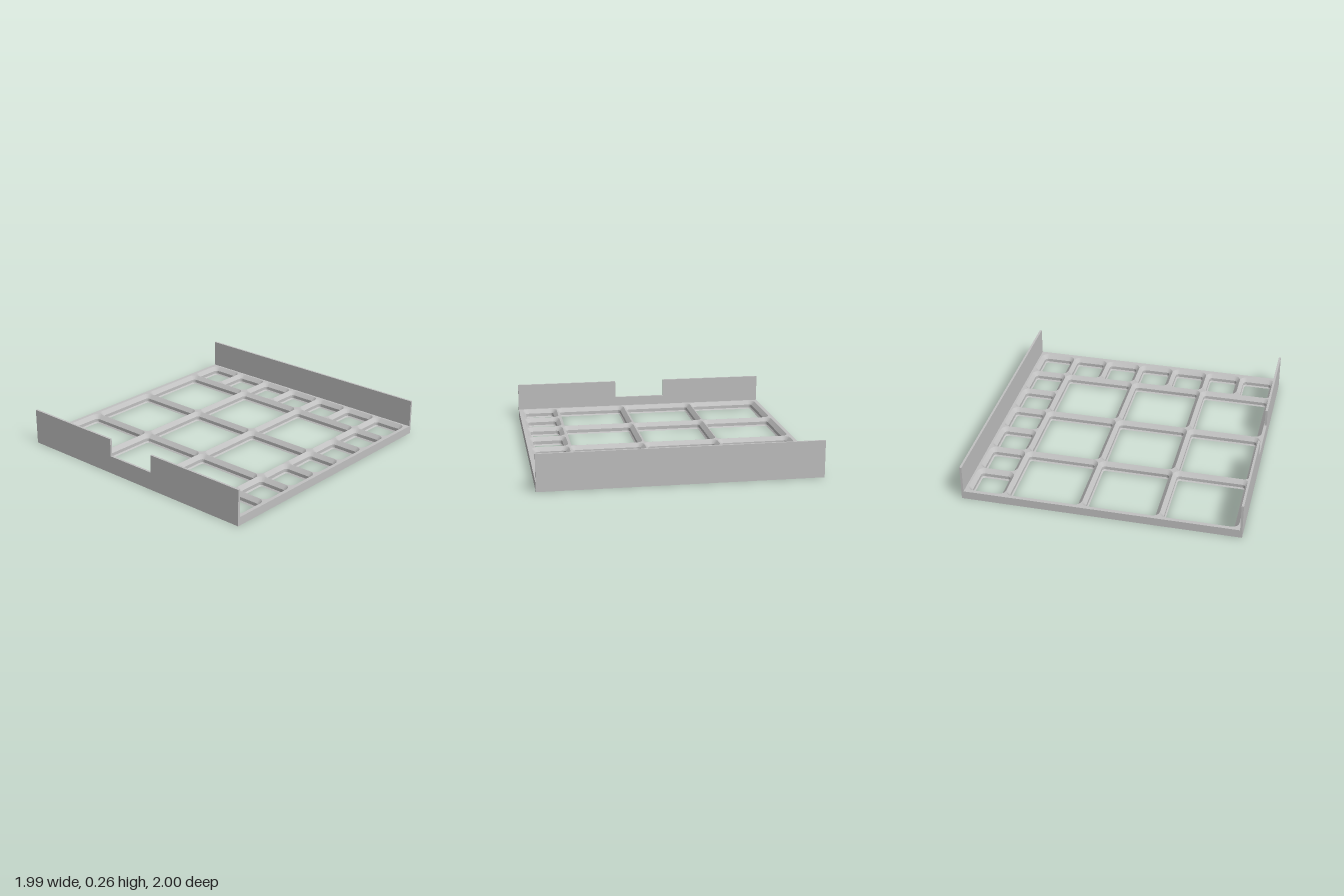
import * as THREE from 'three';
import { mergeGeometries, toCreasedNormals } from 'three/addons/utils/BufferGeometryUtils.js';

const MM = 0.01319;            // grid unit scale
const PITCH = 42 * MM;         // large cell
const HALF = PITCH / 2;        // small cell
const EDGE = 1.75 * PITCH;     // half extent of the cell field
const W = 0.996, D = 1, T = 0.016;
const PLATE_H = 4.65 * MM, WALL_H = 0.265;

// Cell profile from bottom to top: [height, inset, corner radius]
const PROFILE = [
  [0, 2.85 * MM, 1.15 * MM],
  [0.7 * MM, 2.15 * MM, 1.85 * MM],
  [2.5 * MM, 2.15 * MM, 1.85 * MM],
  [PLATE_H, 0.0008, 4 * MM],
];

// Rounded rectangle outline in (x, z), corner by corner
function outline(cx, cz, hx, hz, r, steps = 6) {
  const points = [];
  [[1, 1], [-1, 1], [-1, -1], [1, -1]].forEach(([sx, sz], corner) => {
    for (let i = 0; i <= steps; i++) {
      const a = (corner + i / steps) * Math.PI / 2;
      points.push(new THREE.Vector2(
        cx + sx * (hx - r) + r * Math.cos(a), cz + sz * (hz - r) + r * Math.sin(a)));
    }
  });
  return points;
}

// Inward-facing skin through stacked outlines
function loft(rings) {
  const n = rings[0].points.length, pos = [], index = [];
  rings.forEach(({ y, points }) => points.forEach(p => pos.push(p.x, y, p.y)));
  for (let k = 0; k < rings.length - 1; k++) {
    for (let i = 0; i < n; i++) {
      const a = k * n + i, b = k * n + (i + 1) % n;
      index.push(a, b, b + n, a, b + n, a + n);
    }
  }
  const g = new THREE.BufferGeometry();
  g.setAttribute('position', new THREE.Float32BufferAttribute(pos, 3));
  g.setIndex(index);
  return toCreasedNormals(g, 0.4);
}

// Flat horizontal face with holes, facing up or down
function flatFace(y, outer, holes, up) {
  const s = up ? -1 : 1;
  const flip = pts => pts.map(p => new THREE.Vector2(p.x, s * p.y));
  const shape = new THREE.Shape(flip(outer));
  shape.holes = holes.map(h => new THREE.Path(flip(h)));
  const g = new THREE.ShapeGeometry(shape);
  g.rotateX(s * Math.PI / 2);
  g.translate(0, y, 0);
  return g;
}

export function createModel() {
  const group = new THREE.Group();
  const grey = new THREE.MeshStandardMaterial({ color: 0xc0c0c0 });
  grey.name = 'light grey';
  const add = (geometry, name) => {
    const mesh = new THREE.Mesh(geometry, grey);
    mesh.name = name;
    group.add(mesh);
    return mesh;
  };

  // Cell layout: three by three large, a small row behind, a small column on the left
  const cells = [];
  for (let i = 0; i < 3; i++) {
    for (let j = 0; j < 3; j++) {
      cells.push([-EDGE + (i + 0.5) * PITCH, EDGE - (j + 0.5) * PITCH, HALF]);
    }
  }
  for (let i = 0; i < 7; i++) {
    const c = -EDGE + (i + 0.5) * HALF;
    cells.push([c, -EDGE + HALF / 2, HALF / 2]);
    if (i > 0) cells.push([EDGE - HALF / 2, c, HALF / 2]);
  }
  const ring = ([cx, cz, h], [, inset, r]) => outline(cx, cz, h - inset, h - inset, r);

  // Sloped sockets
  add(mergeGeometries(cells.map(cell =>
    loft(PROFILE.map(p => ({ y: p[0], points: ring(cell, p) }))))), 'cellSockets');

  // Grid faces
  const outer = [[W, D - T], [-W, D - T], [-W, T - D], [W, T - D]]
    .map(([x, z]) => new THREE.Vector2(x, z));
  add(flatFace(PLATE_H, outer, cells.map(c => ring(c, PROFILE[3])), true), 'gridTop');
  add(flatFace(0, outer, cells.map(c => ring(c, PROFILE[0])), false), 'gridUnderside');

  // Outer side edges
  for (const s of [1, -1]) {
    const g = new THREE.PlaneGeometry(2 * (D - T), PLATE_H);
    g.rotateY(s * Math.PI / 2);
    g.translate(s * W, PLATE_H / 2, 0);
    add(g, s > 0 ? 'leftEdge' : 'rightEdge');
  }

  // Back wall
  add(new THREE.BoxGeometry(2 * W, WALL_H, T), 'backWall')
    .position.set(0, WALL_H / 2, -D + T / 2);

  // Front wall with a finger notch
  const front = new THREE.Shape([
    [-W, 0], [W, 0], [W, WALL_H], [0.199, WALL_H], [0.199, WALL_H / 2],
    [-0.199, WALL_H / 2], [-0.199, WALL_H], [-W, WALL_H],
  ].map(p => new THREE.Vector2(...p)));
  add(new THREE.ExtrudeGeometry(front, { depth: T, bevelEnabled: false }), 'frontWall')
    .position.z = D - T;

  return group;
}
